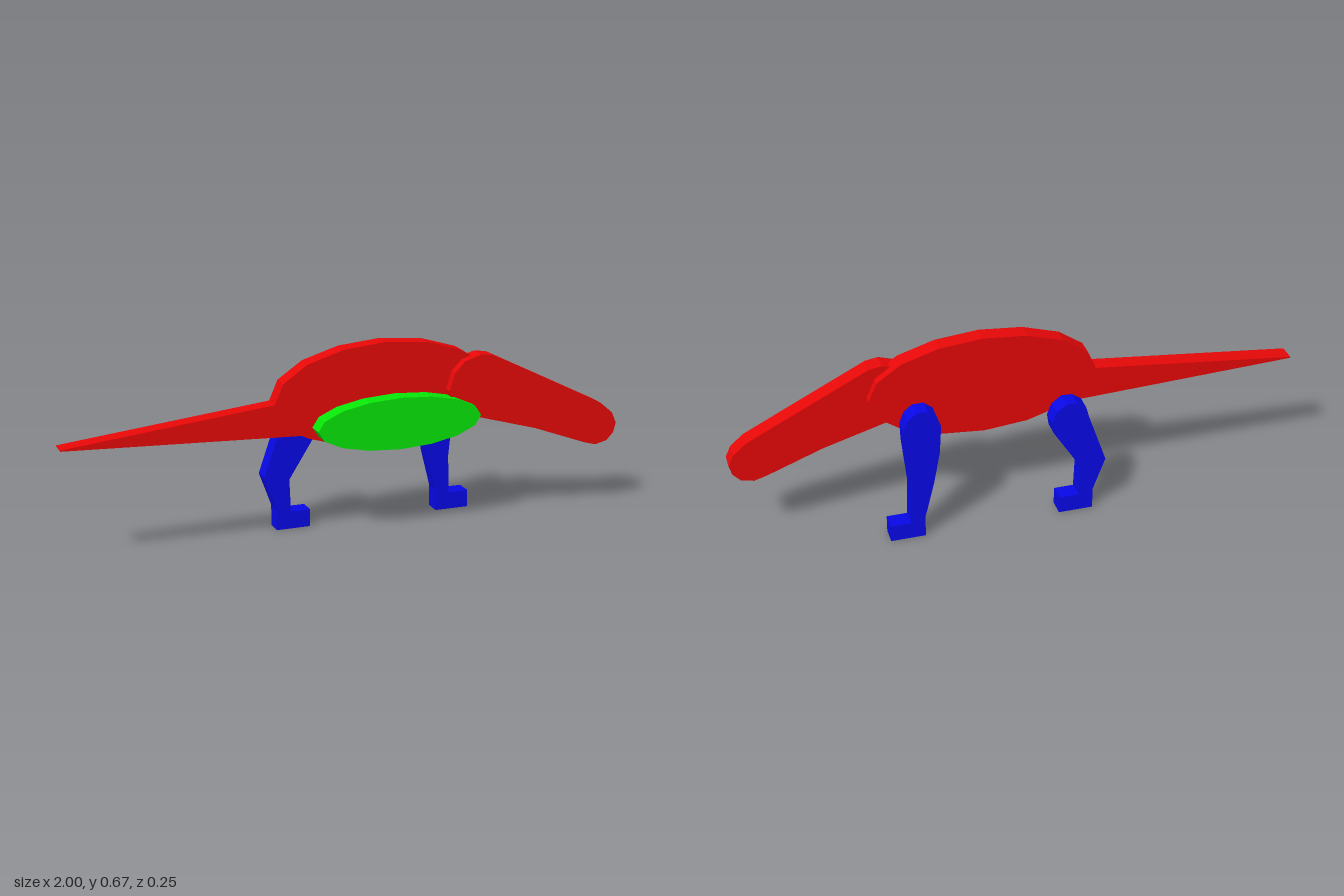
import * as THREE from 'three';

const red = new THREE.MeshStandardMaterial({ color: 0xee0808 });
red.name = 'red';
const green = new THREE.MeshStandardMaterial({ color: 0x08ee08 });
green.name = 'green';
const blue = new THREE.MeshStandardMaterial({ color: 0x0808ee });
blue.name = 'blue';

const THICK = 0.0615;

// Points of a faceted ellipse arc, angles in steps of 22.5 degrees
function arc(cx, cy, rx, ry, from, to) {
  const pts = [];
  for (let i = from; i <= to; i++) {
    const a = (i * Math.PI) / 8;
    pts.push([cx + rx * Math.cos(a), cy + ry * Math.sin(a)]);
  }
  return pts;
}

// Flat cut-out with its back face at z
function plate(name, points, z, material) {
  const shape = new THREE.Shape(points.map(([x, y]) => new THREE.Vector2(x, y)));
  const geometry = new THREE.ExtrudeGeometry(shape, { depth: THICK, bevelEnabled: false });
  geometry.translate(0, 0, z);
  const mesh = new THREE.Mesh(geometry, material);
  mesh.name = name;
  return mesh;
}

export function createModel() {
  const group = new THREE.Group();
  group.name = 'longNeckedAnimal';

  // Oval body running into a pointed tail
  const body = [
    ...arc(0.125, 0.49, 0.398, 0.182, 0, 8),
    [-1, 0.412], [-1, 0.408], [-0.3, 0.378], [-0.18, 0.373],
    ...arc(0.125, 0.49, 0.398, 0.182, 10, 15),
  ];
  group.add(plate('bodyAndTail', body, 0, red));

  // Neck and head, tapering down to a round snout
  const neck = [
    [0.51, 0.598], [0.465, 0.605], [0.405, 0.586], [0.368, 0.548], [0.348, 0.485],
    [0.36, 0.44], [0.395, 0.405], [0.455, 0.383], [0.68, 0.318],
    [0.875, 0.245], [0.92, 0.232], [0.965, 0.243], [0.99, 0.27],
    [1, 0.305], [0.982, 0.345], [0.935, 0.385], [0.74, 0.483],
  ];
  group.add(plate('neckAndHead', neck, 0.031, red));

  // Oval belly patch
  group.add(plate('belly', arc(0.157, 0.398, 0.298, 0.091, 0, 15), THICK, green));

  // Legs, each with a block foot pointing forward
  const hindLeg = [
    [-0.23, 0], [-0.108, 0], [-0.108, 0.062], [-0.178, 0.062], [-0.183, 0.18],
    [-0.086, 0.334], [-0.08, 0.375], [-0.095, 0.415], [-0.13, 0.442], [-0.168, 0.44],
    [-0.2, 0.418], [-0.212, 0.375], [-0.274, 0.195], [-0.23, 0.075],
  ];
  const frontLeg = [
    [0.37, 0], [0.492, 0], [0.492, 0.062], [0.42, 0.062], [0.415, 0.2],
    [0.432, 0.37], [0.434, 0.435], [0.418, 0.475], [0.388, 0.498], [0.35, 0.498],
    [0.32, 0.475], [0.306, 0.435], [0.313, 0.33], [0.336, 0.21], [0.37, 0.075],
  ];
  group.add(plate('hindLeg', hindLeg, -2 * THICK, blue));
  group.add(plate('frontLeg', frontLeg, -2 * THICK, blue));

  return group;
}
